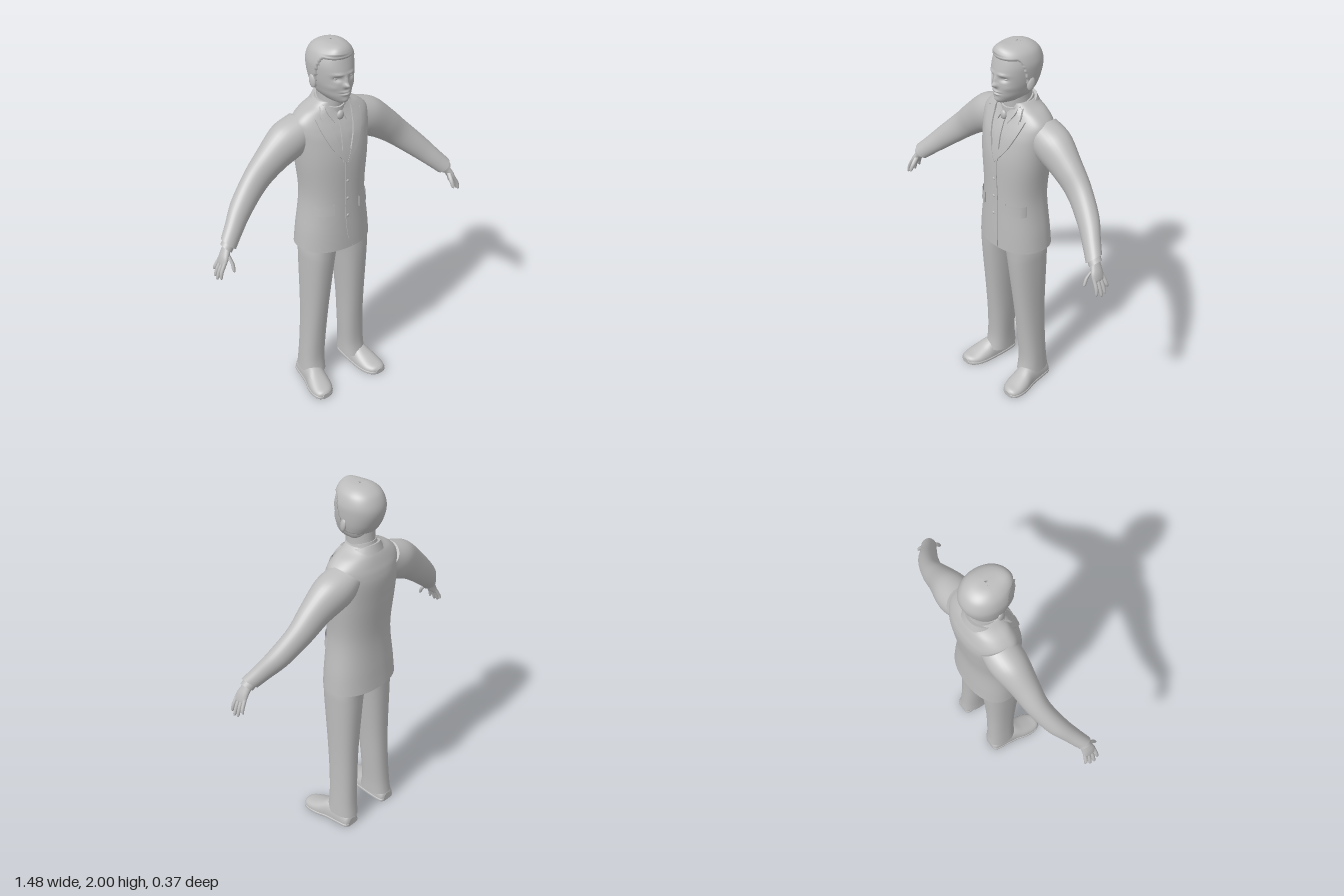
import * as THREE from 'three';
import { toCreasedNormals } from 'three/addons/utils/BufferGeometryUtils.js';

const X = [1, 0, 0], Y = [0, 1, 0], Z = [0, 0, 1];
const { smoothstep, lerp } = THREE.MathUtils;

// Catmull-Rom refinement of rows of numbers
function refine(rows, sub = 6) {
  const out = [], at = i => rows[Math.min(Math.max(i, 0), rows.length - 1)];
  for (let i = 0; i < rows.length - 1; i++) for (let k = 0; k < sub; k++) {
    const t = k / sub, [p, a, b, n] = [at(i - 1), at(i), at(i + 1), at(i + 2)];
    out.push(a.map((v, j) => v + 0.5 * t * (b[j] - p[j]
      + t * (2 * p[j] - 5 * v + 4 * b[j] - n[j] + t * (3 * (v - b[j]) + n[j] - p[j])))));
  }
  out.push(at(rows.length - 1));
  return out;
}

// Loft of oval rows [cx, cy, cz, halfU, halfV+, halfV-] spanned by axes u and v
function loft(rows, u, v, { power = 2, seg = 32, sub = 6, shape = null } = {}) {
  const r = refine(rows, sub), pos = [], idx = [], e = 2 / power;
  const U = new THREE.Vector3(...u), V = new THREE.Vector3(...v), p = new THREE.Vector3();
  const ring = q => {
    for (let i = 0; i < seg; i++) {
      const c = Math.cos(i / seg * 2 * Math.PI), s = Math.sin(i / seg * 2 * Math.PI);
      p.set(q[0], q[1], q[2]).addScaledVector(U, q[3] * Math.sign(c) * Math.abs(c) ** e)
        .addScaledVector(V, (s > 0 ? q[4] : q[5]) * Math.sign(s) * Math.abs(s) ** e);
      if (shape) shape(p);
      pos.push(p.x, p.y, p.z);
    }
  };
  const first = r[0], last = r[r.length - 1];
  const axis = new THREE.Vector3(last[0] - first[0], last[1] - first[1], last[2] - first[2]);
  const flip = U.clone().cross(V).dot(axis) < 0;
  const tri = (a, b, c) => flip ? idx.push(a, c, b) : idx.push(a, b, c);
  r.forEach(ring);
  for (let j = 0; j < r.length - 1; j++) for (let i = 0; i < seg; i++) {
    const a = j * seg + i, b = j * seg + (i + 1) % seg;
    tri(a, b, b + seg); tri(a, b + seg, a + seg);
  }
  // flat end caps
  for (const [q, end] of [[first, 0], [last, 1]]) {
    const base = pos.length / 3;
    ring(q);
    for (let i = 1; i < seg - 1; i++)
      end ? tri(base, base + i, base + i + 1) : tri(base, base + i + 1, base + i);
  }
  const g = new THREE.BufferGeometry();
  g.setAttribute('position', new THREE.Float32BufferAttribute(pos, 3));
  g.setIndex(idx);
  g.computeVertexNormals();
  return g;
}

// Rows written as [y, halfWidth, zFront, zBack]
const upright = rows => rows.map(([y, a, f, b]) => [0, y, -0.04, a, f + 0.04, -0.04 - b]);

const jacketRows = upright([
  [0.9, 0.204, 0.12, -0.175], [1.0, 0.195, 0.118, -0.168], [1.2, 0.172, 0.112, -0.158],
  [1.4, 0.19, 0.108, -0.175], [1.52, 0.2, 0.088, -0.185], [1.58, 0.205, 0.066, -0.18],
  [1.62, 0.195, 0.046, -0.168], [1.655, 0.155, 0.03, -0.155], [1.68, 0.105, 0.022, -0.142],
  [1.7, 0.075, 0.02, -0.13]]);
const jacketFine = refine(jacketRows), jacketPower = 2.25;

// Front surface of the jacket at (x, y)
function jacketFront(x, y) {
  let i = jacketFine.findIndex(r => r[1] >= y);
  if (i < 1) i = i < 0 ? jacketFine.length - 1 : 1;
  const a = jacketFine[i - 1], b = jacketFine[i], t = (y - a[1]) / (b[1] - a[1]);
  const k = Math.min(Math.abs(x) / lerp(a[3], b[3], t), 1);
  return -0.04 + lerp(a[4], b[4], t) * (1 - k ** jacketPower) ** (1 / jacketPower);
}

// Raised cloth between two edge lines, following the jacket front
function patch(inner, outer, lift, side = 1) {
  const A = refine(inner, 5), B = refine(outer, 5), cols = [0, 0, 0.2, 0.4, 0.6, 0.8, 1, 1];
  const pos = [], idx = [], n = cols.length;
  A.forEach((a, j) => cols.forEach((t, i) => {
    const x = lerp(a[0], B[j][0], t) * side, y = lerp(a[1], B[j][1], t);
    pos.push(x, y, jacketFront(x, y) + (i === 0 || i === n - 1 ? -0.003 : lift));
  }));
  for (let j = 0; j < A.length - 1; j++) for (let i = 0; i < n - 1; i++) {
    const a = j * n + i, f = (inner[1][1] > inner[0][1] ? 1 : -1) * side * (outer[1][0] > inner[1][0] ? 1 : -1);
    f > 0 ? idx.push(a, a + 1, a + n + 1, a, a + n + 1, a + n)
      : idx.push(a, a + n + 1, a + 1, a, a + n, a + n + 1);
  }
  const g = new THREE.BufferGeometry();
  g.setAttribute('position', new THREE.Float32BufferAttribute(pos, 3));
  g.setIndex(idx);
  return toCreasedNormals(g, 0.8);
}

const headRows = upright([
  [1.71, 0.03, 0.07, -0.05], [1.722, 0.05, 0.088, -0.075], [1.75, 0.073, 0.096, -0.1],
  [1.78, 0.085, 0.097, -0.115], [1.82, 0.096, 0.097, -0.138], [1.87, 0.102, 0.096, -0.156],
  [1.91, 0.102, 0.088, -0.156], [1.95, 0.089, 0.076, -0.138], [1.973, 0.067, 0.062, -0.11],
  [1.985, 0.038, 0.035, -0.075], [1.988, 0.005, -0.015, -0.025]]);

// Facial relief: [|x|, y, spreadX, spreadY, depth]
const relief = [[0, 1.812, 0.013, 0.012, 0.024], [0, 1.837, 0.009, 0.02, 0.012], [0.04, 1.845, 0.018, 0.011, -0.014],
  [0.035, 1.868, 0.025, 0.007, 0.006], [0, 1.778, 0.022, 0.005, 0.008], [0, 1.764, 0.019, 0.005, 0.007],
  [0, 1.771, 0.026, 0.003, -0.005], [0, 1.732, 0.02, 0.012, 0.005], [0.06, 1.8, 0.02, 0.015, 0.004]];
function face(p) {
  if (p.z < 0) return;
  const x = Math.abs(p.x), y = p.y;
  for (const [cx, cy, sx, sy, d] of relief)
    p.z += d * Math.exp(-(((x - cx) / sx) ** 2) - ((y - cy) / sy) ** 2);
}
// Hair shell: swells above the hairline and sinks under the skin below it
function hairRule(p) {
  const line = lerp(1.775, 1.936, smoothstep(p.z, -0.03, 0.03));
  const d = lerp(-0.02, 0.008, smoothstep(p.y - line, -0.005, 0.006));
  const dir = p.clone().sub(new THREE.Vector3(0, 1.87, -0.03)).normalize();
  const quiff = 0.009 * Math.exp(-(((p.x + 0.03) / 0.04) ** 2) - ((p.z - 0.06) / 0.035) ** 2) * (p.y > 1.95 ? 1 : 0);
  p.addScaledVector(dir, d + quiff);
}

export function createModel() {
  const model = new THREE.Group();
  const grey = new THREE.MeshStandardMaterial({ color: 0xbcbcbc, side: THREE.DoubleSide });
  grey.name = 'plain grey';
  const add = (name, geometry, parent = model) => {
    const m = new THREE.Mesh(geometry, grey);
    m.name = name;
    parent.add(m);
    return m;
  };
  const ball = (name, x, y, z, sx, sy, sz, parent) => {
    const m = add(name, new THREE.SphereGeometry(1, 20, 14), parent);
    m.position.set(x, y, z);
    m.scale.set(sx, sy, sz);
    return m;
  };

  // Head and neck
  add('head', loft(headRows, X, Z, { seg: 96, sub: 9, power: 2.1, shape: face }));
  add('hair', loft(headRows, X, Z, { seg: 96, sub: 9, power: 2.1, shape: hairRule }));
  add('neck', loft(upright([[1.62, 0.07, 0.03, -0.13], [1.71, 0.063, 0.036, -0.117], [1.79, 0.066, 0.03, -0.118]]), X, Z));

  // Jacket body, shirt collar and jacket collar
  add('jacket', loft(jacketRows, X, Z, { power: jacketPower, seg: 64 }));
  add('shirtCollar', loft([[0, 1.65, -0.042, 0.082, 0.086, 0.09], [0, 1.7, -0.042, 0.07, 0.084, 0.08]], X, [0, -0.3, 1]));
  add('jacketCollar', loft([[0, 1.64, -0.055, 0.108, 0.075, 0.098], [0, 1.685, -0.055, 0.083, 0.06, 0.083]], X, [0, -0.35, 1]));

  // Tie and front closing
  add('tie', patch([[-0.024, 1.41], [-0.021, 1.5], [-0.012, 1.615]], [[0.024, 1.41], [0.021, 1.5], [0.012, 1.615]], 0.007));
  ball('tieKnot', 0, 1.635, 0.048, 0.019, 0.024, 0.013);
  add('frontOverlap', patch([[0.002, 0.96], [-0.012, 1.1], [-0.012, 1.41]], [[0.03, 0.905], [0.03, 1.1], [0.012, 1.41]], 0.004));
  for (const y of [1.1, 1.2, 1.3]) ball('button', 0, y, jacketFront(0, y) + 0.004, 0.008, 0.008, 0.004);

  for (const s of [1, -1]) {
    const side = new THREE.Group();
    side.name = s > 0 ? 'leftSide' : 'rightSide';
    model.add(side);
    const limb = (name, rows, u, v, opt) =>
      add(name, loft(rows.map(r => [r[0] * s, ...r.slice(1)]), [u[0] * s, u[1], u[2]], v, opt), side);

    // Eye and ear
    ball('eye', s * 0.04, 1.845, 0.066, 0.015, 0.008, 0.011, side);
    const ear = ball('ear', s * 0.105, 1.812, -0.03, 0.011, 0.034, 0.02, side);
    ear.rotation.set(-0.2, -s * 0.3, 0);

    // Lapel, collar leaf, shirt collar point and pocket flap
    add('lapel', patch([[0, 1.405], [0.035, 1.5], [0.06, 1.58], [0.07, 1.635]],
      [[0.006, 1.4], [0.075, 1.49], [0.115, 1.58], [0.128, 1.635]], 0.009, s), side);
    add('collarLeaf', patch([[0.07, 1.632], [0.072, 1.66], [0.07, 1.69]],
      [[0.1, 1.622], [0.1, 1.65], [0.086, 1.684]], 0.012, s), side);
    add('collarPoint', patch([[0.03, 1.605], [0.015, 1.65], [0.01, 1.665]],
      [[0.036, 1.605], [0.062, 1.65], [0.068, 1.68]], 0.01, s), side);
    add('pocketFlap', patch([[0.075, 1.12], [0.075, 1.15], [0.075, 1.18]],
      [[0.16, 1.115], [0.158, 1.145], [0.156, 1.175]], 0.009, s), side);

    // Sleeve and cuff
    const across = [0.707, 0.707, 0];
    limb('sleeve', [[0.13, 1.575, -0.07, 0.08, 0.085, 0.09], [0.215, 1.52, -0.07, 0.106, 0.093, 0.093],
      [0.33, 1.443, -0.06, 0.085, 0.07, 0.072], [0.425, 1.362, -0.05, 0.071, 0.056, 0.06],
      [0.53, 1.265, -0.014, 0.06, 0.054, 0.054], [0.6, 1.195, 0.03, 0.05, 0.046, 0.046],
      [0.648, 1.147, 0.062, 0.045, 0.042, 0.042]], across, Z);
    limb('shirtCuff', [[0.63, 1.165, 0.055, 0.034, 0.035, 0.035], [0.664, 1.13, 0.066, 0.033, 0.034, 0.034]], across, Z);

    // Hand with four fingers and a thumb
    const thick = [0.87, 0.5, 0];
    limb('palm', [[0.648, 1.15, 0.06, 0.02, 0.026, 0.026], [0.667, 1.122, 0.068, 0.019, 0.03, 0.029],
      [0.685, 1.092, 0.075, 0.018, 0.036, 0.034], [0.7, 1.062, 0.077, 0.012, 0.037, 0.036],
      [0.703, 1.055, 0.077, 0.004, 0.03, 0.03]], thick, Z);
    const tips = [[0.722, 1.015, 0.038], [0.733, 0.992, 0.063], [0.735, 0.987, 0.087], [0.726, 0.998, 0.112]];
    const digit = (name, a, m, b, r) => limb(name, [[...a, r, r, r], [...m, r, r, r],
      [...b.map((c, i) => lerp(m[i], c, 0.8)), r * 0.8, r * 0.8, r * 0.8], [...b, r * 0.2, r * 0.2, r * 0.2]],
      thick, Z, { seg: 12, sub: 4 });
    tips.forEach((tip, i) => {
      const z = 0.05 + i * 0.018;
      digit('finger', [0.693, 1.078, z], [0.716, 1.036, lerp(z, tip[2], 0.5)], tip, 0.0095);
    });
    digit('thumb', [0.668, 1.11, 0.088], [0.664, 1.075, 0.12], [0.668, 1.035, 0.14], 0.011);

    // Trouser leg
    limb('trouserLeg', [[0.97, 0.17, 0.003, 0.1, -0.14], [0.88, 0.184, 0.007, 0.095, -0.13],
      [0.78, 0.185, 0.02, 0.088, -0.125], [0.5, 0.182, 0.046, 0.06, -0.115], [0.3, 0.186, 0.058, 0.042, -0.116],
      [0.15, 0.194, 0.066, 0.036, -0.121], [0.06, 0.2, 0.066, 0.05, -0.13]]
      .map(([y, out, inn, f, b]) => [(out + inn) / 2, y, -0.03, (out - inn) / 2, f + 0.03, -0.03 - b]),
      X, Z, { power: 2.3 });

    // Shoe upper and sole
    const shoe = [[0.142, -0.125, 0.028, 0.03], [0.143, -0.11, 0.046, 0.055], [0.146, -0.05, 0.053, 0.085],
      [0.152, 0.02, 0.057, 0.088], [0.163, 0.08, 0.064, 0.058], [0.171, 0.135, 0.06, 0.036],
      [0.177, 0.172, 0.043, 0.026], [0.179, 0.187, 0.018, 0.014]];
    limb('shoe', shoe.map(([x, z, a, h]) => [x, 0.018, z, a, h, 0.008]), X, Y, { power: 2.2 });
    limb('sole', shoe.map(([x, z, a]) => [x, 0.01, z, a + 0.004, 0.01, 0.01]), X, Y, { power: 5 });
  }
  return model;
}
